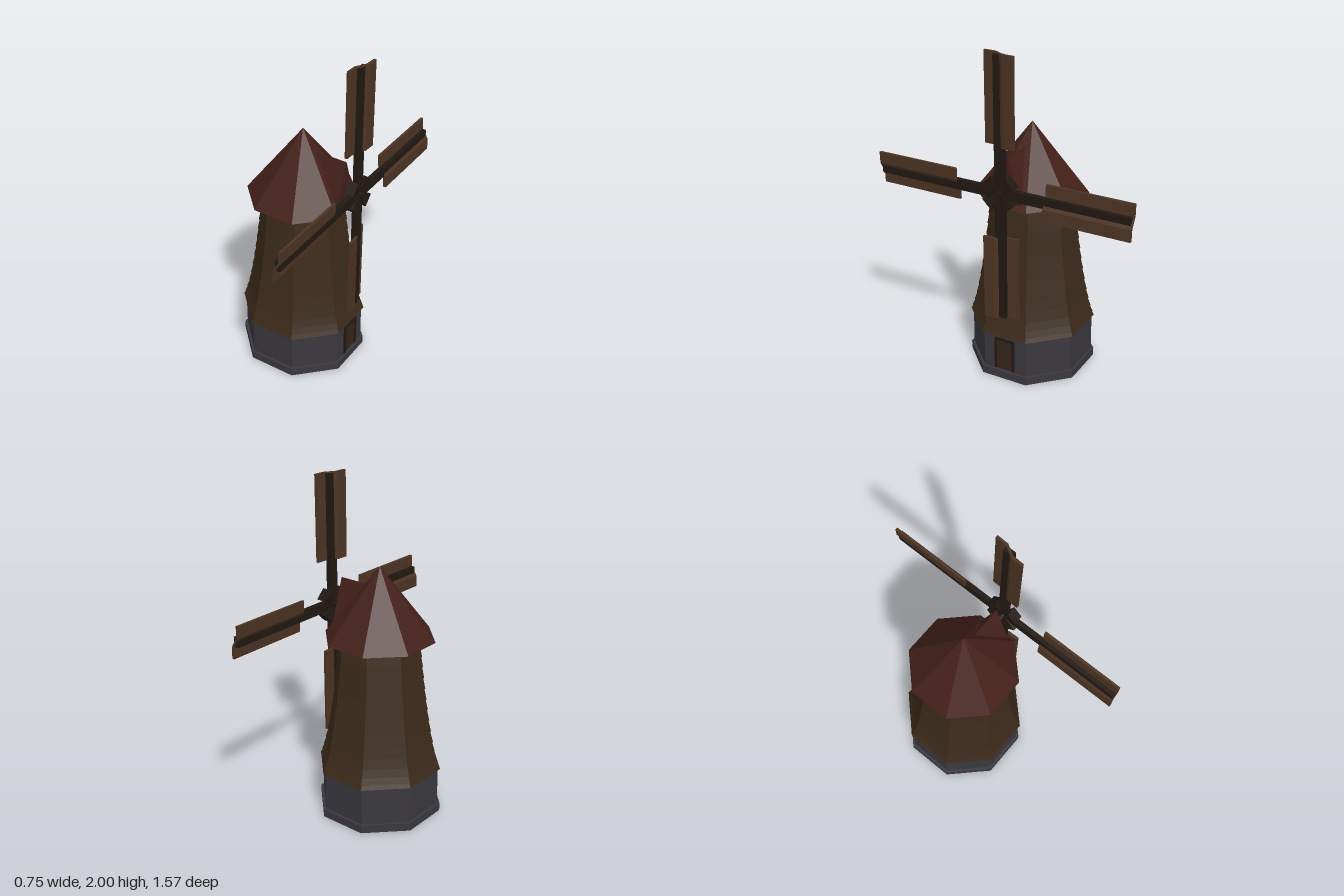
import * as THREE from 'three';

const TOWER_X = -0.025;
const HUB = new THREE.Vector3(0.335, 1.215, 0);
const mat = (color) => new THREE.MeshStandardMaterial({ color, flatShading: true });

export function createModel() {
  const model = new THREE.Group();
  model.name = 'windmill';
  const stone = mat(0x3a383e);
  const siding = mat(0x3a2919);
  const roofing = mat(0x44201a);
  const timber = mat(0x211812);
  const sailWood = mat(0x4c3423);
  const doorWood = mat(0x34241a);

  const add = (parent, name, geometry, material, x = 0, y = 0, z = 0) => {
    const mesh = new THREE.Mesh(geometry, material);
    mesh.name = name;
    mesh.position.set(x, y, z);
    parent.add(mesh);
    return mesh;
  };

  // Octagonal solid from [apothem, height] pairs, flat sides facing the axes
  const octagon = (profile) => new THREE.LatheGeometry(
    profile.map(([a, y]) => new THREE.Vector2(a / Math.cos(Math.PI / 8), y)), 8, Math.PI / 8);

  // Stone footing and wall
  add(model, 'plinth', octagon([[0, 0], [0.35, 0], [0.35, 0.05], [0, 0.05]]), stone, TOWER_X);
  add(model, 'stoneWall', octagon([[0.335, 0.05], [0.335, 0.29], [0, 0.29]]), stone, TOWER_X);

  // Flared tower clad in overlapping boards
  const flare = new THREE.SplineCurve([[0.343, 0.285], [0.311, 0.4], [0.276, 0.6],
    [0.25, 0.8], [0.229, 1.0], [0.22, 1.11]].map((p) => new THREE.Vector2(...p)));
  const boards = 15;
  const cladding = [[0.3, 0.285]];
  for (let i = 0; i < boards; i++) {
    const low = flare.getPoint(i / boards);
    const high = flare.getPoint((i + 1) / boards);
    cladding.push([low.x + 0.005, low.y], [high.x, high.y]);
  }
  add(model, 'towerCladding', octagon(cladding), siding, TOWER_X);

  // Cap roof
  add(model, 'roof', octagon([[0, 1.095], [0.305, 1.095], [0, 1.52]]), roofing, TOWER_X);

  // Gabled dormer carrying the sail shaft
  const gable = new THREE.Shape([[-0.1, 1.097], [0.1, 1.097], [0, 1.395]]
    .map((p) => new THREE.Vector2(...p)));
  const dormer = new THREE.ExtrudeGeometry(gable, { depth: 0.26, bevelEnabled: false });
  add(model, 'dormer', dormer.rotateY(Math.PI / 2), roofing);

  // Door with frame posts and lintel
  const door = new THREE.Group();
  door.name = 'door';
  add(door, 'doorPanel', new THREE.BoxGeometry(0.02, 0.2, 0.11), doorWood, 0.306, 0.16, 0);
  for (const s of [-1, 1]) {
    add(door, 'doorPost', new THREE.BoxGeometry(0.024, 0.205, 0.012), timber, 0.31, 0.1625, s * 0.058);
  }
  add(door, 'doorLintel', new THREE.BoxGeometry(0.024, 0.012, 0.128), timber, 0.31, 0.262, 0);
  model.add(door);

  // Shaft
  const shaft = new THREE.CylinderGeometry(0.018, 0.018, 0.17, 8).rotateZ(Math.PI / 2);
  add(model, 'shaft', shaft, timber, 0.287, HUB.y, 0);

  // Sail cross-section: two flat panels joined by a slanted middle step
  const t = 0.008;
  const line = [[0.1, -0.021], [0.03, -0.018], [-0.03, 0.018], [-0.1, 0.021]];
  const section = new THREE.Shape([
    ...line.map(([z, x]) => new THREE.Vector2(x + t, z)),
    ...line.slice().reverse().map(([z, x]) => new THREE.Vector2(x - t, z)),
  ]);
  const sail = new THREE.ExtrudeGeometry(section, { depth: 0.515, bevelEnabled: false });
  sail.rotateX(-Math.PI / 2); // depth along +y, shape y becomes -z
  sail.rotateY(Math.PI);
  sail.scale(-1, 1, 1); // restore the direction of the step
  const idx = sail.toNonIndexed ? sail : null;
  // Scaling mirrors the faces, so swap two corners of each triangle
  const p = idx.attributes.position;
  const a = new THREE.Vector3();
  const b = new THREE.Vector3();
  for (let i = 0; i < p.count; i += 3) {
    a.fromBufferAttribute(p, i + 1);
    b.fromBufferAttribute(p, i + 2);
    p.setXYZ(i + 1, b.x, b.y, b.z);
    p.setXYZ(i + 2, a.x, a.y, a.z);
  }
  sail.computeVertexNormals();

  // Hub gusset: triangular wedge thickening away from the shaft
  const wedge = new THREE.Shape([[0, 0], [0.1, 0.045], [0.045, 0.1]]
    .map((q) => new THREE.Vector2(...q)));
  const gusset = new THREE.ExtrudeGeometry(wedge, { depth: 1, bevelEnabled: false });
  gusset.translate(0, 0, -0.5);
  const g = gusset.attributes.position;
  for (let i = 0; i < g.count; i++) {
    g.setZ(i, g.getZ(i) * (0.025 + 0.32 * Math.hypot(g.getX(i), g.getY(i))));
  }
  gusset.rotateY(Math.PI / 2);

  // Four arms, each with a sail and a gusset
  const rotor = new THREE.Group();
  rotor.name = 'sails';
  rotor.position.copy(HUB);
  for (let i = 0; i < 4; i++) {
    const arm = new THREE.Group();
    arm.name = 'sailArm';
    arm.rotation.x = i * Math.PI / 2;
    add(arm, 'spar', new THREE.BoxGeometry(0.03, 0.78, 0.06), timber, 0, 0.39, 0);
    add(arm, 'sail', sail, sailWood, 0, 0.272, 0);
    add(arm, 'hubGusset', gusset, timber);
    rotor.add(arm);
  }
  model.add(rotor);
  return model;
}
